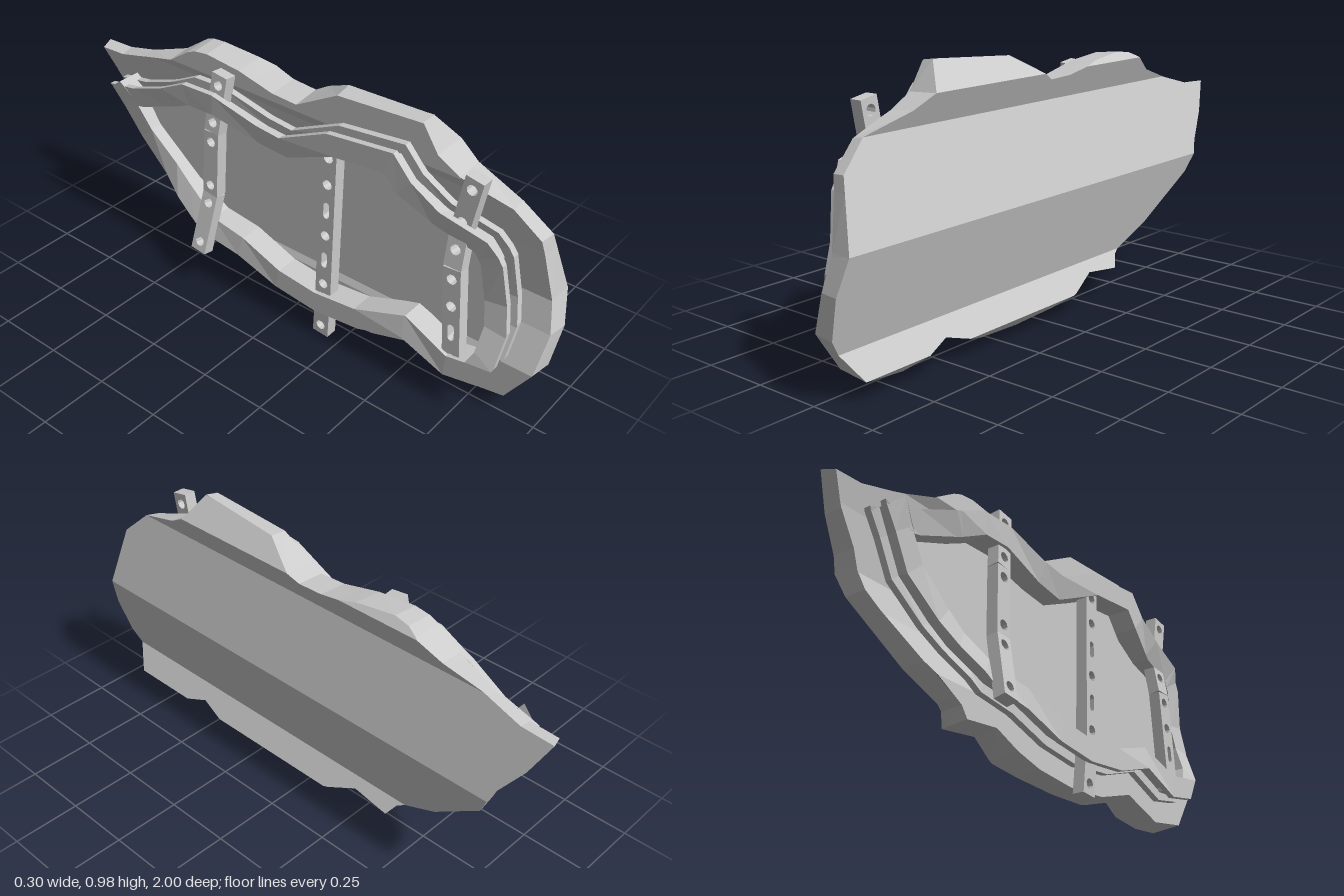
import * as THREE from 'three';

const material = new THREE.MeshStandardMaterial({ color: 0xcccccc, flatShading: true });

// Outlines are [z, y] points, from the pointed rear end over the top to the front and back below.
const shellOutline = [
  [-1, .745], [-.88, .75], [-.75, .785], [-.59, .835], [-.5, .895], [-.46, .912], [-.4, .92], [-.25, .905],
  [-.1, .87], [0, .865], [.17, .96], [.51, .982], [.57, .89], [.65, .845], [.83, .79], [.93, .7],
  [1, .36], [.985, .215], [.89, .07], [.71, .04], [.53, .1], [.35, .045], [.16, .03], [-.02, .045],
  [-.14, .075], [-.25, .12], [-.4, .103], [-.43, .145], [-.6, .235], [-.81, .41], [-.865, .53], [-.94, .63],
];
const frameOutline = [
  [-.86, .66], [-.72, .69], [-.55, .76], [-.44, .815], [-.3, .82], [-.1, .775], [0, .765], [.2, .86],
  [.46, .89], [.53, .81], [.64, .745], [.8, .7], [.85, .62], [.89, .37], [.88, .25], [.83, .155],
  [.7, .13], [.53, .195], [.35, .135], [.16, .115], [-.02, .135], [-.2, .19], [-.36, .21], [-.52, .3],
  [-.73, .47], [-.8, .58],
];

// Bends as [y, x] points: depth of a surface at each height.
const frontBend = [[.03, .07], [.07, .11], [.16, .06], [.48, .152], [.79, .065], [.89, .11], [.98, .04]];
const backBend = [[.03, -.01], [.215, -.01], [.36, .045], [.47, .07], [.65, .047], [.79, .015], [.83, -.01], [.98, -.01]];
const frameBend = [[.11, 0], [.24, 0], [.36, .043], [.47, .056], [.65, .04], [.75, .003], [.89, 0]];
const flat = [[0, 0], [1, 0]];

function depthAt(bend, y) {
  if (y <= bend[0][0]) return bend[0][1];
  for (let i = 1; i < bend.length; i++) {
    const [y0, x0] = bend[i - 1], [y1, x1] = bend[i];
    if (y <= y1) return x0 + (x1 - x0) * (y - y0) / (y1 - y0);
  }
  return bend[bend.length - 1][1];
}

// Adds one outline point wherever an edge crosses a bend height.
function splitAt(outline, ...bends) {
  const heights = [...new Set(bends.flat().map(b => b[0]))];
  return outline.flatMap((p, i) => {
    const q = outline[(i + 1) % outline.length];
    const ts = heights.map(h => (h - p[1]) / (q[1] - p[1])).filter(t => t > .02 && t < .98).sort((a, b) => a - b);
    return [p, ...ts.map(t => [p[0] + (q[0] - p[0]) * t, p[1] + (q[1] - p[1]) * t])];
  });
}

// Moves every edge inward by d, with mitred corners.
function inset(outline, d) {
  const n = outline.length;
  const normal = (p, q) => {
    const l = Math.hypot(q[0] - p[0], q[1] - p[1]);
    return [(q[1] - p[1]) / l, -(q[0] - p[0]) / l];
  };
  return outline.map((p, i) => {
    const a = normal(outline[(i + n - 1) % n], p), b = normal(p, outline[(i + 1) % n]);
    const k = d / Math.max(.35, 1 + a[0] * b[0] + a[1] * b[1]);
    return [p[0] + (a[0] + b[0]) * k, p[1] + (a[1] + b[1]) * k];
  });
}

const place = (outline, bend, offset = 0) => outline.map(([z, y]) => [depthAt(bend, y) + offset, y, z]);
const quad = (out, a, b, c, d) => out.push(...a, ...b, ...c, ...a, ...c, ...d);

// Quads between two loops of equal length.
function bridge(out, A, B) {
  A.forEach((a, i) => {
    const j = (i + 1) % A.length;
    quad(out, a, B[i], B[j], A[j]);
  });
}

// Fills an outline with horizontal strips that follow a bend.
function fill(out, outline, bend, facesFront) {
  const ys = [...outline.map(p => p[1]), ...bend.map(b => b[0])].sort((a, b) => a - b);
  const levels = ys.filter((y, i) => i === 0 || y - ys[i - 1] > 1e-6);
  for (let k = 1; k < levels.length; k++) {
    const lo = levels[k - 1], hi = levels[k], mid = (lo + hi) / 2, cuts = [];
    outline.forEach((p, i) => {
      const q = outline[(i + 1) % outline.length];
      if ((p[1] > mid) === (q[1] > mid)) return;
      const zAt = y => p[0] + (q[0] - p[0]) * (y - p[1]) / (q[1] - p[1]);
      cuts.push([zAt(mid), zAt(lo), zAt(hi)]);
    });
    cuts.sort((a, b) => a[0] - b[0]);
    const xl = depthAt(bend, lo), xh = depthAt(bend, hi);
    for (let i = 0; i + 1 < cuts.length; i += 2) {
      const c = [[xl, lo, cuts[i][1]], [xl, lo, cuts[i + 1][1]], [xh, hi, cuts[i + 1][2]], [xh, hi, cuts[i][2]]];
      if (facesFront) c.reverse();
      quad(out, ...c);
    }
  }
}

function meshFrom(name, positions, mat = material) {
  const g = new THREE.BufferGeometry();
  g.setAttribute('position', new THREE.Float32BufferAttribute(positions, 3));
  g.computeVertexNormals();
  const mesh = new THREE.Mesh(g, mat);
  mesh.name = name;
  return mesh;
}

// Bent outer armour plate with a solid rim
function makeShell() {
  const out = [];
  const front = splitAt(shellOutline, frontBend, backBend);
  const back = inset(front, .01);
  fill(out, front, frontBend, true);
  bridge(out, place(front, frontBend), place(back, backBend));
  fill(out, back, backBend, false);
  return meshFrom('outerShell', out);
}

// Grooved ring behind the plate: two flanges joined by a recessed web
function makeFrame() {
  const out = [];
  const base = splitAt(frameOutline, frameBend);
  const section = [[0, -.01], [0, -.035], [.035, -.035], [.035, -.078], [0, -.078], [0, -.1], [.08, -.1], [.08, -.01]];
  const loops = section.map(([d, x]) => place(inset(base, d), frameBend, x));
  loops.forEach((loop, i) => bridge(out, loop, loops[(i + 1) % loops.length]));
  return meshFrom('grooveFrame', out);
}

// Flat panel closing the inside of the ring
function makePanel() {
  const out = [];
  fill(out, inset(frameOutline, .06), flat, false);
  const mat = material.clone();
  mat.side = THREE.DoubleSide;
  return meshFrom('innerPanel', out, mat);
}

// One straight strip of a strut, pierced by round holes and slots in turn
function makeStrip(from, to) {
  const w = .033, depth = .045;
  const dir = to.clone().sub(from), length = dir.length();
  dir.normalize();
  const shape = new THREE.Shape([[-w, 0], [w, 0], [w, length], [-w, length]].map(p => new THREE.Vector2(...p)));
  const count = Math.floor((length - .08) / .1) + 1;
  for (let i = 0; i < count; i++) {
    const y = count === 1 ? length / 2 : .04 + (length - .08) * i / (count - 1);
    const hole = new THREE.Path();
    if (i % 2 && i < count - 1) {
      hole.absarc(0, y + .02, .012, 0, Math.PI, false);
      hole.absarc(0, y - .02, .012, Math.PI, 2 * Math.PI, false);
    } else {
      hole.absarc(0, y, .019, 0, 2 * Math.PI, false);
    }
    shape.holes.push(hole);
  }
  const g = new THREE.ExtrudeGeometry(shape, { depth, bevelEnabled: false, curveSegments: 5 });
  g.translate(0, 0, -depth / 2);
  const side = dir.clone().cross(new THREE.Vector3(1, 0, 0)).normalize();
  g.applyMatrix4(new THREE.Matrix4().makeBasis(side, dir, side.clone().cross(dir)).setPosition(from));
  return new THREE.Mesh(g, material);
}

function makeStrut(name, path) {
  const strut = new THREE.Group();
  strut.name = name;
  const pts = path.map(p => new THREE.Vector3(...p));
  for (let i = 1; i < pts.length; i++) {
    const strip = makeStrip(pts[i], pts[i - 1]);
    strip.name = name + 'Strip' + i;
    strut.add(strip);
  }
  return strut;
}

export function createModel() {
  const model = new THREE.Group();
  model.name = 'armourPanel';
  model.add(makeShell(), makeFrame(), makePanel());
  // Struts across the back, as [x, y, z] paths from top to bottom
  model.add(
    makeStrut('rearStrut', [[-.043, .885, -.29], [-.065, .66, -.32], [-.075, .4, -.33], [-.13, .162, -.355]]),
    makeStrut('middleStrut', [[-.062, .8, .2], [-.062, .2, .185], [-.055, .004, .17]]),
    makeStrut('frontStrut', [[-.038, .885, .728], [-.038, .68, .69], [-.06, .55, .69], [-.065, .16, .72]]),
  );
  return model;
}
